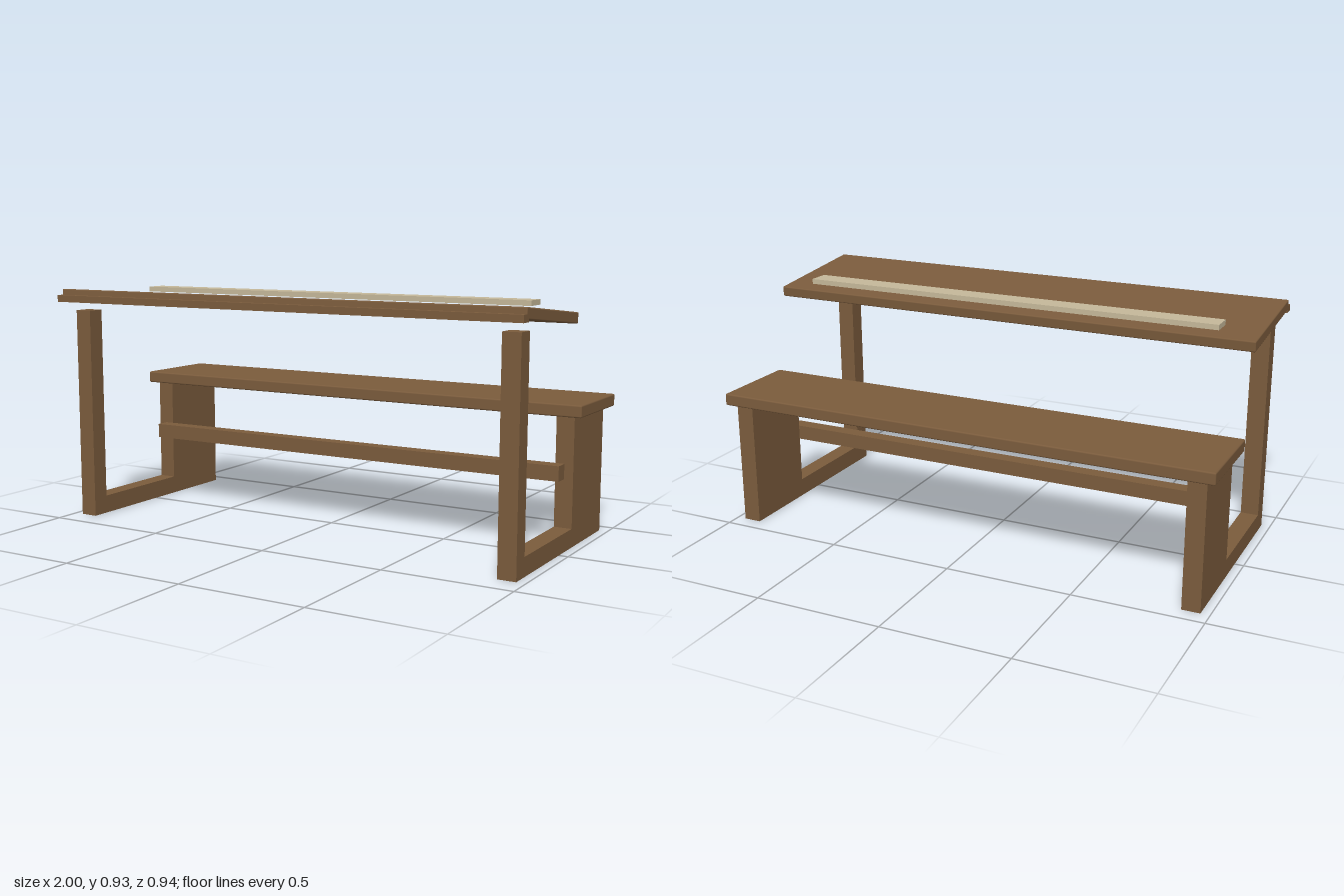
import * as THREE from 'three';
import { RoundedBoxGeometry } from 'three/addons/geometries/RoundedBoxGeometry.js';

export function createModel() {
  const model = new THREE.Group();
  model.name = 'schoolDesk';
  const wood = new THREE.MeshStandardMaterial({ color: 0x7a5b3c });
  wood.name = 'brown wood';
  const pale = new THREE.MeshStandardMaterial({ color: 0xc4b799 });
  pale.name = 'pale strip';

  const add = (name, geometry, material, x, y, z) => {
    const mesh = new THREE.Mesh(geometry, material);
    mesh.name = name;
    mesh.position.set(x, y, z);
    model.add(mesh);
    return mesh;
  };

  // End frames: front post, floor rail and wide bench panel in one outline (z, y)
  const outline = new THREE.Shape([
    [0.398, 0], [0.398, 0.845], [0.328, 0.845], [0.328, 0.072],
    [-0.125, 0.072], [-0.125, 0.495], [-0.438, 0.495], [-0.438, 0],
  ].map(([z, y]) => new THREE.Vector2(-z, y)));
  const frame = new THREE.ExtrudeGeometry(outline, { depth: 0.07, bevelEnabled: false });
  frame.translate(0, 0, -0.035).rotateY(Math.PI / 2);
  add('leftEndFrame', frame, wood, 0.93, 0, 0);
  add('rightEndFrame', frame, wood, -0.93, 0, 0);

  // Stretcher joining the front edges of the bench panels
  add('stretcher', new THREE.BoxGeometry(1.86, 0.058, 0.058), wood, 0, 0.286, -0.097);

  // Bench seat with slightly eased edges
  add('benchSeat', new RoundedBoxGeometry(2, 0.047, 0.37, 2, 0.006), wood, 0, 0.5175, -0.282);

  // Desk top, tilted up towards the front, with its lip
  const top = add('deskTop', new RoundedBoxGeometry(2, 0.041, 0.48, 2, 0.005), wood, 0, 0.888, 0.202);
  top.rotation.x = -0.1;
  add('frontLip', new THREE.BoxGeometry(2, 0.027, 0.043), wood, 0, 0.895, 0.4465);

  // Pale strip hovering over the lower edge of the desk top
  add('paleStrip', new THREE.BoxGeometry(1.72, 0.02, 0.085), pale, 0, 0.917, 0.0195);

  return model;
}
